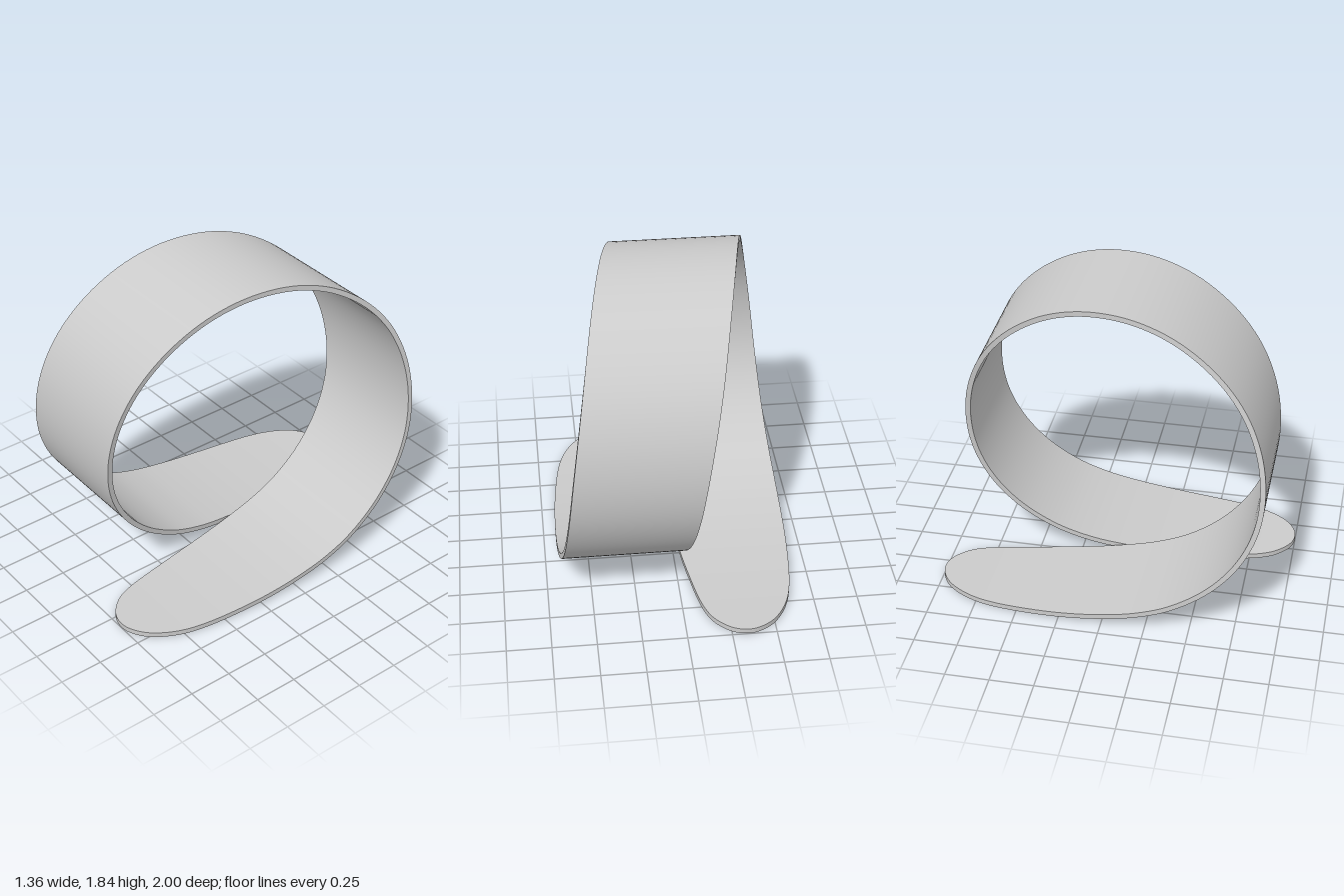
import * as THREE from 'three';

const THICK = 0.03, STEPS = 260;

// Centre line of the band seen from the side, [z, y], from the front tip over the back to the top
const half = [
  [1, 0.02], [0.7, 0.017], [0.4, 0.026], [0.2, 0.04], [0, 0.065], [-0.2, 0.106], [-0.4, 0.181],
  [-0.6, 0.317], [-0.75, 0.492], [-0.845, 0.7], [-0.877, 0.93], [-0.845, 1.18],
  [-0.75, 1.405], [-0.6, 1.588], [-0.4, 1.73], [-0.2, 1.805],
];

// One long edge of the band: [distance along the band / total length, x]
const edgeKeys = [
  [0, 0.345], [0.0025, 0.42], [0.011, 0.505], [0.036, 0.605], [0.08, 0.658], [0.135, 0.68], [0.19, 0.675],
  [0.312, 0.605], [0.41, 0.495], [0.5, 0.375], [0.59, 0.245], [0.688, 0.115], [0.78, 0.04],
  [0.865, -0.005], [0.93, -0.06], [0.981, -0.145], [0.993, -0.215], [0.9985, -0.28], [1, -0.345],
];

// Cosine spacing packs the cross-sections toward the rounded tips
const toParam = (p) => Math.acos(1 - 2 * p) / Math.PI;
const toLength = (t) => (1 - Math.cos(Math.PI * t)) / 2;

function createBand() {
  const mirrored = half.map(([z, y]) => [-z, y]).reverse();
  const path = new THREE.CatmullRomCurve3(
    [...half, [0, 1.828], ...mirrored].map(([z, y]) => new THREE.Vector3(0, y, z)));
  path.arcLengthDivisions = 2000;

  const edge = new THREE.CubicInterpolant(
    edgeKeys.map(([p]) => toParam(p)), edgeKeys.map(([, x]) => x), 1, [0]);
  const edgeX = (t) => edge.evaluate(t)[0];

  // Four corners per cross-section, in order around the band
  const sections = [];
  for (let i = 0; i <= STEPS; i++) {
    const t = i / STEPS;
    const p = Math.min(1, Math.max(0, toLength(t)));
    const c = path.getPointAt(p), d = path.getTangentAt(p);
    const ny = d.z * THICK / 2, nz = -d.y * THICK / 2;
    const a = edgeX(t), b = -edgeX(1 - t);
    sections.push([
      [a, c.y - ny, c.z - nz], [a, c.y + ny, c.z + nz],
      [b, c.y + ny, c.z + nz], [b, c.y - ny, c.z - nz],
    ]);
  }

  // Each side has its own vertices, so the corners stay sharp
  const positions = [], index = [];
  for (let k = 0; k < 4; k++) {
    const base = positions.length / 3;
    sections.forEach((s, i) => {
      positions.push(...s[k], ...s[(k + 1) % 4]);
      if (i === STEPS) return;
      const v = base + i * 2;
      index.push(v, v + 1, v + 2, v + 1, v + 3, v + 2);
    });
  }
  const geometry = new THREE.BufferGeometry();
  geometry.setAttribute('position', new THREE.Float32BufferAttribute(positions, 3));
  geometry.setIndex(index);
  geometry.computeVertexNormals();
  return geometry;
}

export function createModel() {
  const group = new THREE.Group();
  group.name = 'loopedBand';
  const band = new THREE.Mesh(createBand(),
    new THREE.MeshStandardMaterial({ color: 0xcccccc, side: THREE.DoubleSide }));
  band.name = 'band';
  group.add(band);
  return group;
}
